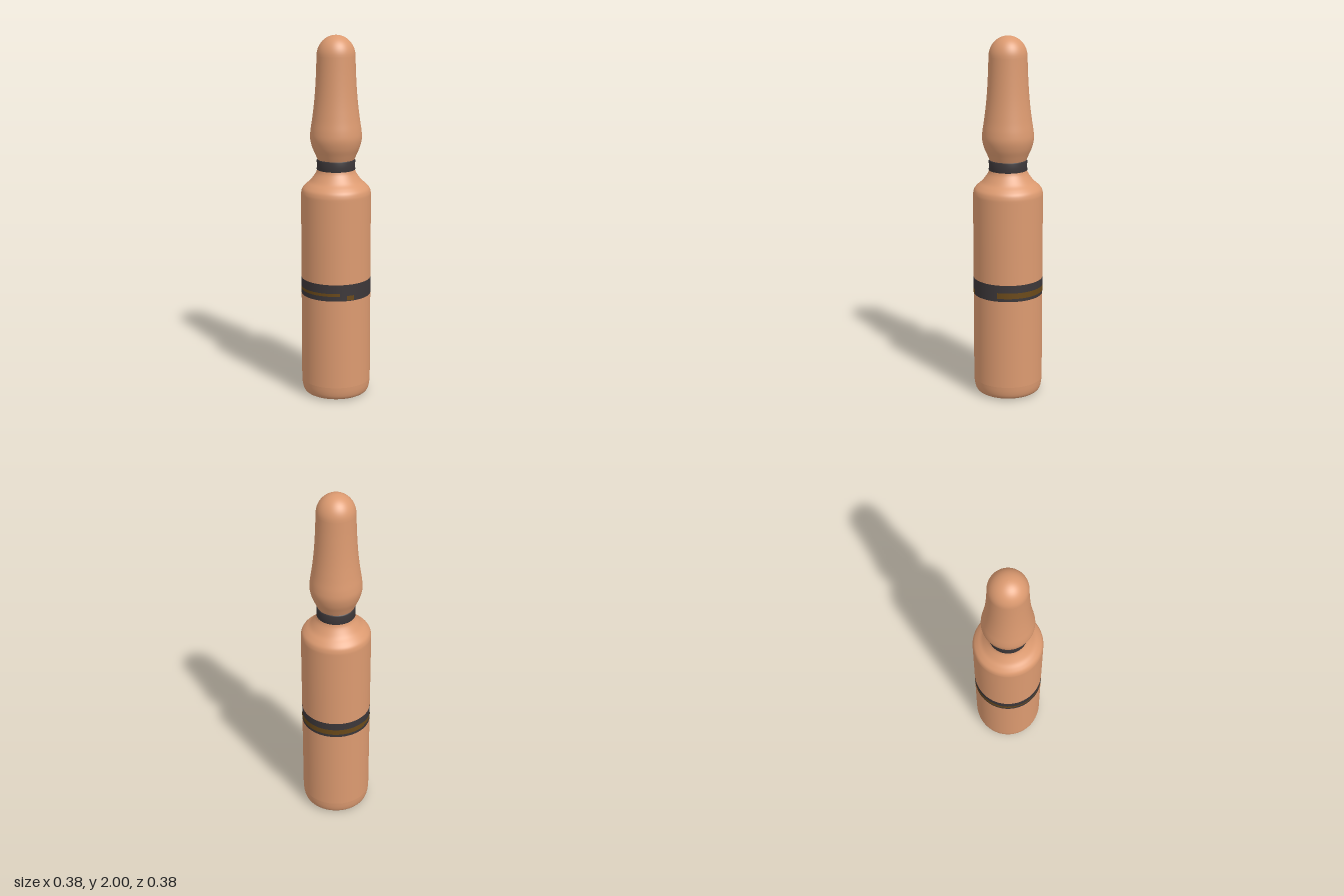
import * as THREE from 'three';

const SEGMENTS = 72;
const DEG = Math.PI / 180;

const mat = (name, color) => {
  const m = new THREE.MeshStandardMaterial({ color });
  m.name = name;
  return m;
};

export function createModel() {
  const group = new THREE.Group();
  group.name = 'ampoule';
  const amber = mat('amber glass', 0xdc9a70);
  const dark = mat('dark band', 0x3c3739);
  const brown = mat('brown streak', 0x6a4919);
  const grey = mat('grey base', 0x6d6d68);

  const add = (name, geometry, material) => {
    const mesh = new THREE.Mesh(geometry, material);
    mesh.name = name;
    group.add(mesh);
    return mesh;
  };
  // Turned section from [radius, height] points, optionally smoothed
  const turned = (name, points, material, samples = 0) => {
    let pts = points.map(([r, y]) => new THREE.Vector2(r, y));
    if (samples) pts = new THREE.SplineCurve(pts).getPoints(samples);
    pts.forEach((p) => { p.x = Math.max(p.x, 0); });
    return add(name, new THREE.LatheGeometry(pts, SEGMENTS), material);
  };

  // Body: rounded foot, straight wall, printed band, shoulder
  turned('foot', [[0.135, 0], [0.155, 0.002], [0.172, 0.01], [0.182, 0.025], [0.188, 0.05], [0.191, 0.08]], amber, 20);
  turned('lowerBody', [[0.191, 0.08], [0.191, 0.58]], amber);
  turned('bodyBand', [[0.191, 0.58], [0.191, 0.672]], dark);
  turned('upperBody', [[0.191, 0.672], [0.191, 1.13]], amber);
  turned('shoulder', [[0.191, 1.13], [0.19, 1.15], [0.183, 1.172], [0.165, 1.192],
    [0.142, 1.212], [0.123, 1.236], [0.109, 1.258], [0.103, 1.275]], amber, 32);

  // Neck ring and bulbous tip with a domed end
  turned('neckBand', [[0.1, 1.272], [0.105, 1.276], [0.104, 1.3], [0.105, 1.326], [0.1, 1.331]], dark);
  turned('tip', [[0.099, 1.328], [0.113, 1.36], [0.13, 1.4], [0.14, 1.445], [0.138, 1.49],
    [0.129, 1.55], [0.119, 1.63], [0.112, 1.71], [0.107, 1.8], [0.104, 1.89]], amber, 48);
  const dome = [];
  for (let i = 0; i <= 14; i++) {
    const a = (i / 14) * Math.PI / 2;
    dome.push([0.104 * Math.cos(a), 1.89 + 0.11 * Math.sin(a)]);
  }
  turned('dome', dome, amber);

  // Brown streaks within the body band: [start, end, bottom, top]
  const streaks = [
    [135, 295, 0.597, 0.629],
    [295, 325, 0.602, 0.624],
    [325, 418, 0.607, 0.623],
    [70, 82, 0.584, 0.61],
  ];
  for (const [start, end, y0, y1] of streaks) {
    const g = new THREE.CylinderGeometry(0.1922, 0.1922, y1 - y0, Math.ceil((end - start) / 5), 1, true,
      start * DEG, (end - start) * DEG);
    add('bandStreak', g.translate(0, (y0 + y1) / 2, 0), brown);
  }

  // Underside: concentric rings facing down
  const rings = [
    ['baseRim', 0.112, 0.136, dark, 48],
    ['baseRing', 0.05, 0.112, grey, 48],
    ['baseCentreRing', 0.032, 0.05, dark, 24],
    ['baseCentre', 0, 0.032, brown, 24],
  ];
  for (const [name, inner, outer, material, n] of rings) {
    const g = inner ? new THREE.RingGeometry(inner, outer, n) : new THREE.CircleGeometry(outer, n);
    add(name, g.rotateX(Math.PI / 2), material);
  }
  return group;
}
